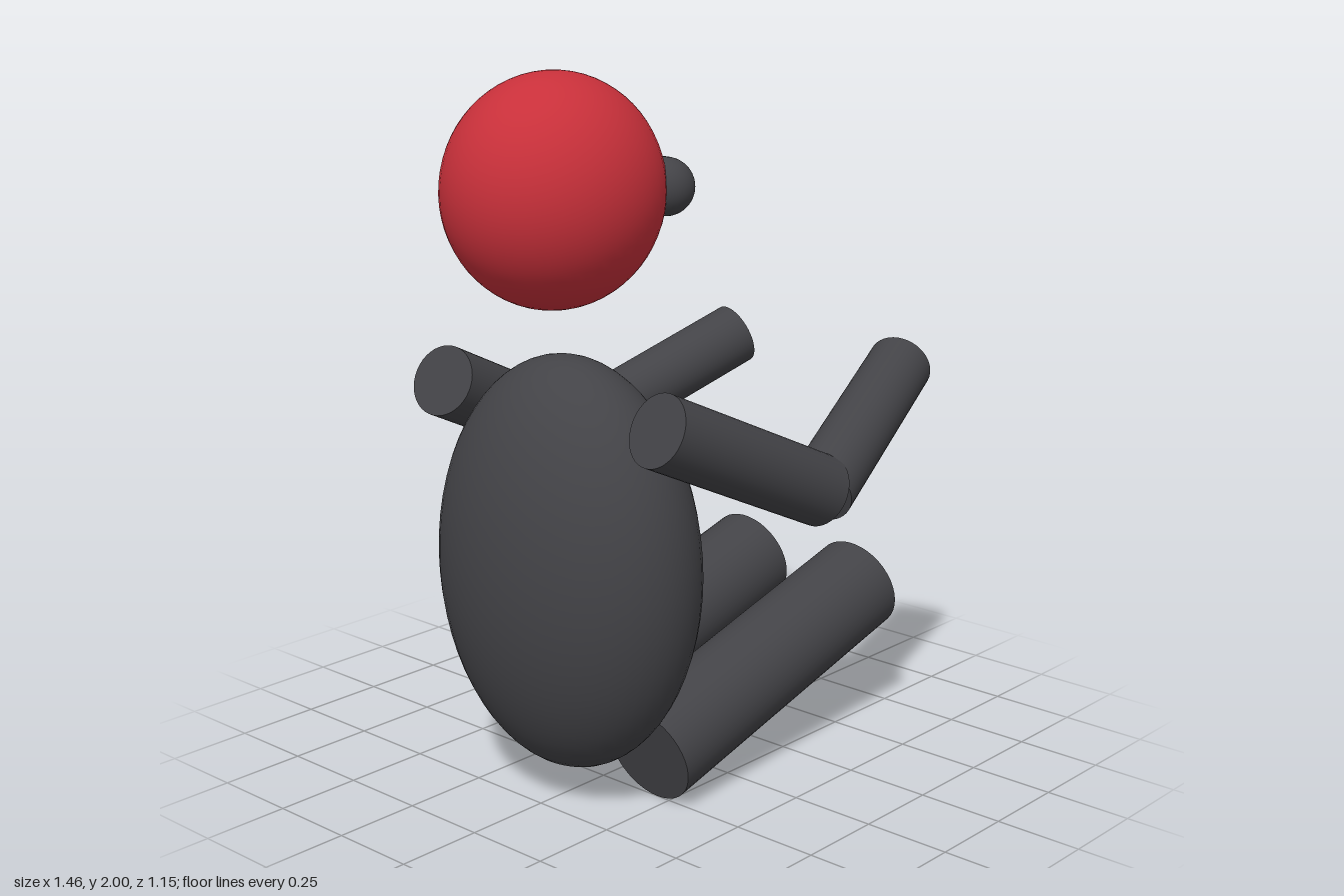
import * as THREE from 'three';

export function createModel() {
  const model = new THREE.Group();
  model.name = 'seatedFigure';
  const red = new THREE.MeshStandardMaterial({ name: 'helmet red', color: 0xc8303a });
  const dark = new THREE.MeshStandardMaterial({ name: 'suit charcoal', color: 0x434347 });

  const add = (name, geometry, material) => {
    const mesh = new THREE.Mesh(geometry, material);
    mesh.name = name;
    model.add(mesh);
    return mesh;
  };

  // Stretched sphere
  const ellipsoid = (name, center, radii, material) => {
    const mesh = add(name, new THREE.SphereGeometry(1, 48, 32), material);
    mesh.position.set(...center);
    mesh.scale.set(...radii);
  };

  // Flat-ended cylinder between two points
  const limb = (name, from, to, radius) => {
    const a = new THREE.Vector3(...from);
    const b = new THREE.Vector3(...to);
    const axis = b.clone().sub(a);
    const mesh = add(name, new THREE.CylinderGeometry(radius, radius, axis.length(), 40), dark);
    mesh.position.copy(a).add(b).multiplyScalar(0.5);
    mesh.quaternion.setFromUnitVectors(new THREE.Vector3(0, 1, 0), axis.normalize());
  };

  // Head and torso; the figure looks along +x
  ellipsoid('head', [-0.42, 1.69, 0], [0.31, 0.31, 0.28], red);
  ellipsoid('torso', [-0.38, 0.668, 0], [0.29, 0.58, 0.415], dark);

  // Visor: a capsule lying across the face, half sunk into the head
  const visor = add('visor', new THREE.CapsuleGeometry(0.078, 0.325, 16, 32), dark);
  visor.rotation.x = Math.PI / 2;
  visor.position.set(-0.168, 1.69, 0);

  // Arms and legs, mirrored across z
  for (const [side, s] of [['near', 1], ['far', -1]]) {
    limb(side + 'UpperArm', [-0.462, 1.128, s * 0.4], [0.113, 0.86, s * 0.478], 0.1);
    limb(side + 'Forearm', [0.107, 0.857, s * 0.477], [0.687, 1.086, s * 0.316], 0.094);
    limb(side + 'Leg', [-0.288, 0.138, s * 0.208], [0.645, 0.396, s * 0.208], 0.143);
  }
  return model;
}
